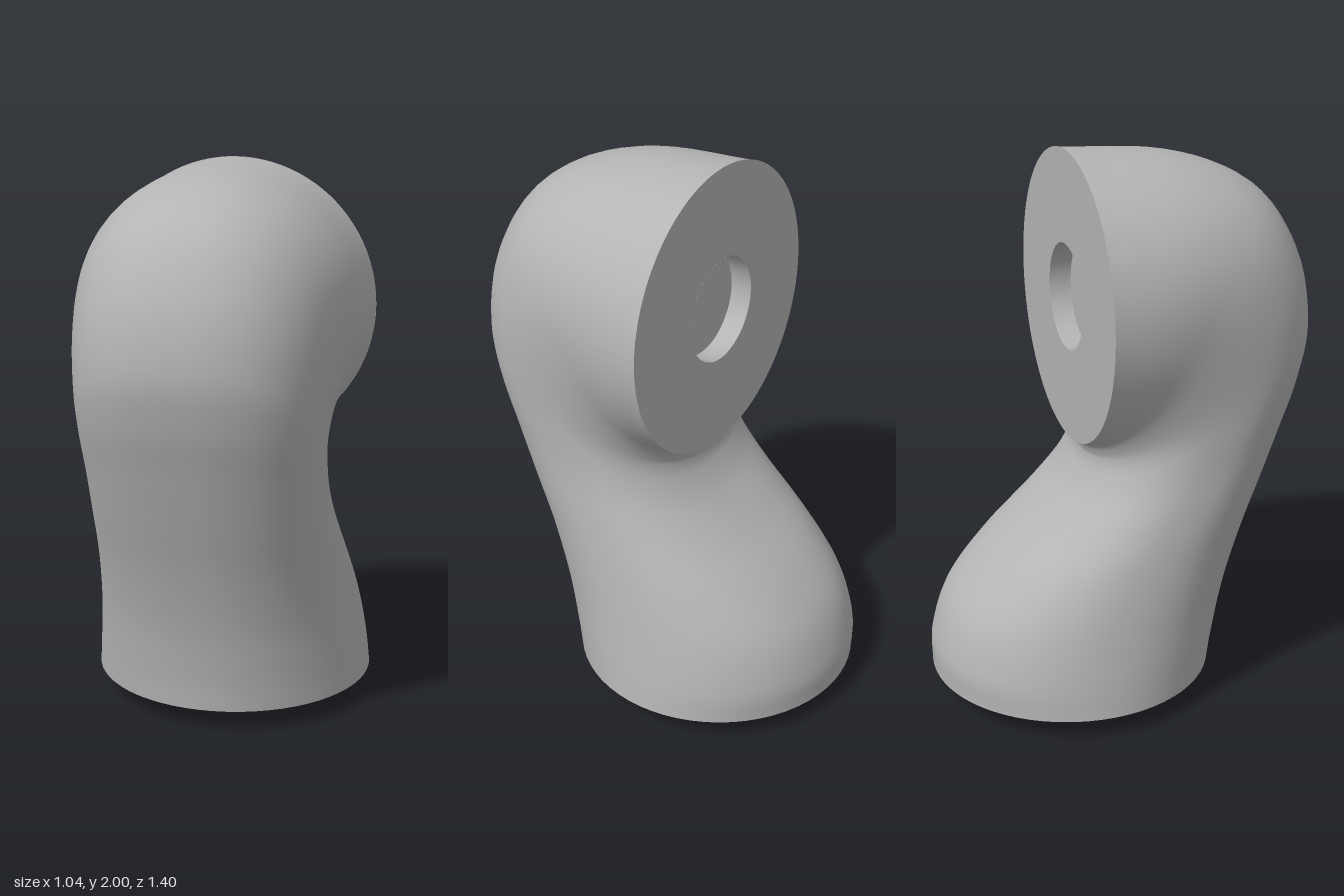
import * as THREE from 'three';

const R = 0.52, AXIS_Z = -0.175, PEG_R = 0.19, PEG = 0.08, END_Y = 1.482;

// Stations along the bend: outer z, y; inner z, y; half width
const STATIONS = [
  [0.345, 0.08, -0.695, 0.08, 0.52],
  [0.36, 0.20, -0.69, 0.20, 0.505],
  [0.40, 0.40, -0.63, 0.36, 0.478],
  [0.465, 0.62, -0.50, 0.51, 0.452],
  [0.54, 0.83, -0.33, 0.655, 0.433],
  [0.61, 1.03, -0.21, 0.77, 0.423],
  [0.67, 1.21, -0.15, 0.86, 0.425],
  [0.70, 1.40, -0.135, 0.91, 0.432],
  [0.65, 1.64, -0.139, 0.932, 0.448],
  [0.50, 1.85, -0.147, 0.948, 0.47],
  [0.22, 1.965, -0.16, 0.96, 0.50],
  [-0.175, 2.0, -0.175, 0.964, 0.52],
];

// Smooth skin lofted through rounded cross-sections
function bentBody(rings = 66, sides = 64) {
  const curve = (f) => new THREE.CatmullRomCurve3(STATIONS.map(f), false, 'catmullrom', 0.5);
  const outer = curve((s) => new THREE.Vector3(s[4], s[1], s[0]));
  const inner = curve((s) => new THREE.Vector3(s[4], s[3], s[2]));
  const pos = [], index = [];
  for (let i = 0; i <= rings; i++) {
    const t = i / rings, o = outer.getPoint(t), n = inner.getPoint(t);
    // sections are round at both ends and slightly squarer in the middle
    const power = 2 / (2 + 0.35 * Math.sin(Math.PI * t));
    const round = (v) => Math.sign(v) * Math.pow(Math.abs(v), power);
    for (let j = 0; j < sides; j++) {
      const a = (j / sides) * Math.PI * 2;
      const c = round(Math.cos(a)), s = round(Math.sin(a));
      pos.push(s * o.x, (o.y + n.y + c * (o.y - n.y)) / 2, (o.z + n.z + c * (o.z - n.z)) / 2);
      if (i < rings) {
        const p = i * sides + j, q = i * sides + ((j + 1) % sides);
        index.push(p, q, q + sides, p, q + sides, p + sides);
      }
    }
  }
  const g = new THREE.BufferGeometry();
  g.setAttribute('position', new THREE.Float32BufferAttribute(pos, 3));
  g.setIndex(index);
  g.computeVertexNormals();
  return g;
}

export function createModel() {
  const group = new THREE.Group();
  const grey = new THREE.MeshStandardMaterial({ color: 0xb4b4b4, side: THREE.DoubleSide });
  grey.name = 'plain grey';
  const add = (name, geometry, y = 0, z = AXIS_Z) => {
    const m = new THREE.Mesh(geometry, grey);
    m.name = name;
    m.position.set(0, y, z);
    group.add(m);
  };

  add('bentBody', bentBody(), 0, 0);

  // Flat base with its round peg
  add('baseFace', new THREE.CircleGeometry(R, 64).rotateX(Math.PI / 2), PEG);
  add('peg', new THREE.CylinderGeometry(PEG_R, PEG_R, PEG, 48), PEG / 2);

  // Rear face with the matching socket
  const face = new THREE.Shape().absarc(0, 0, R, 0, Math.PI * 2);
  face.holes.push(new THREE.Path().absarc(0, 0, PEG_R, 0, Math.PI * 2, true));
  add('socketFace', new THREE.ShapeGeometry(face, 48).rotateY(Math.PI), END_Y);
  add('socketWall', new THREE.CylinderGeometry(PEG_R, PEG_R, PEG, 48, 1, true).rotateX(Math.PI / 2),
    END_Y, AXIS_Z + PEG / 2);
  add('socketFloor', new THREE.CircleGeometry(PEG_R, 48).rotateY(Math.PI), END_Y, AXIS_Z + PEG);

  return group;
}
